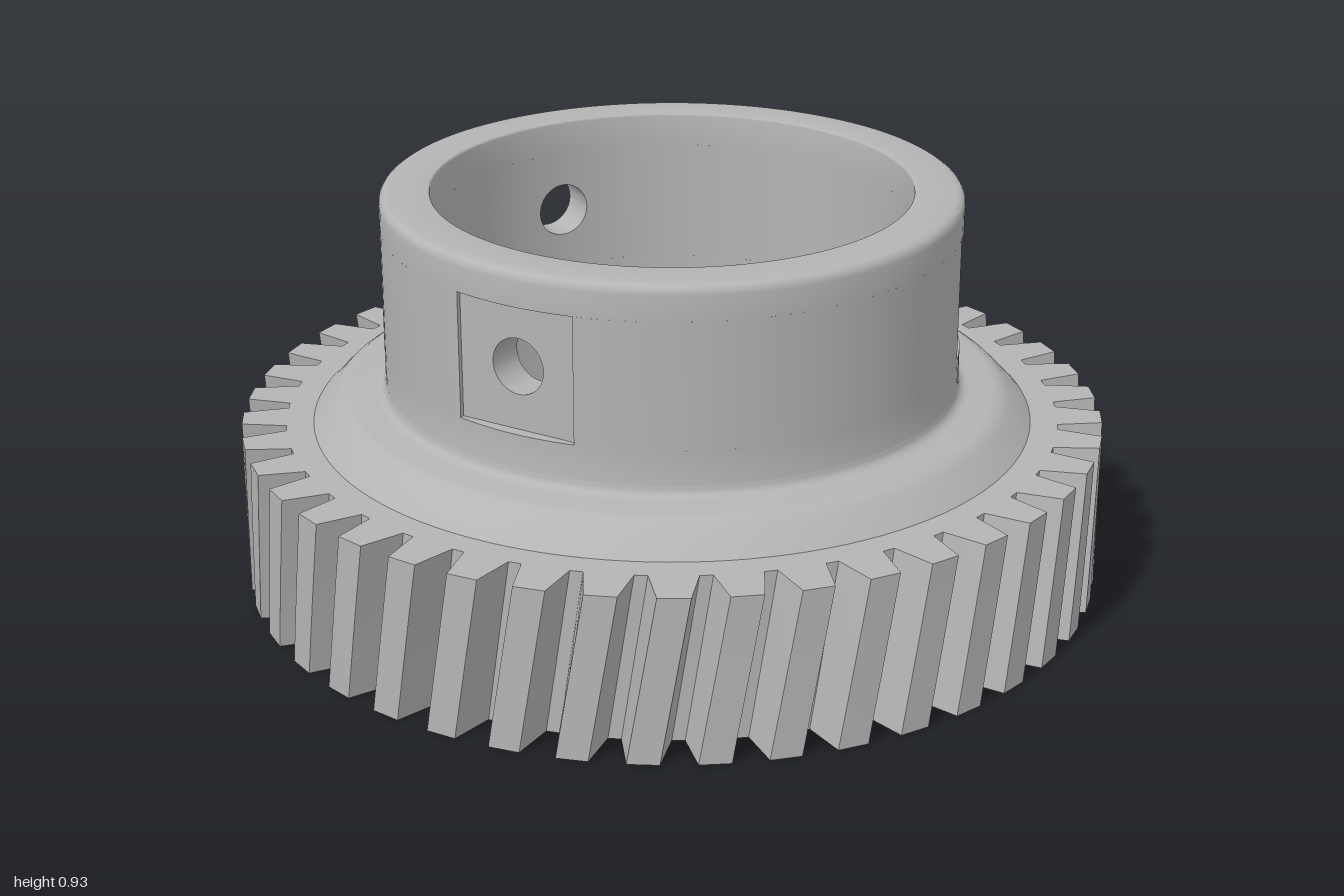
import * as THREE from 'three';
import { toCreasedNormals } from 'three/addons/utils/BufferGeometryUtils.js';

const steel = new THREE.MeshStandardMaterial({ color: 0xb4b4b4, side: THREE.DoubleSide });
steel.name = 'steel grey';

const TEETH = 42, GEAR_H = 0.385, TWIST = 0.064;
const HUB_R = 0.665, BORE_R = 0.55, SHAFT_R = 0.265, FLOOR_Y = 0.22;
const POCKET = 0.145, POCKET_Y = 0.705, POCKET_D = 0.638, HOLE_R = 0.064;
const THIRD = Math.PI * 2 / 3, FIRST = Math.PI / 3;

export function createModel() {
  const model = new THREE.Group();
  model.name = 'helicalGear';

  const add = (name, geometry, parent = model) => {
    const mesh = new THREE.Mesh(toCreasedNormals(geometry, 0.5), steel);
    mesh.name = name;
    parent.add(mesh);
    return mesh;
  };
  const lathe = (pts, segments = 120, start = 0, length = Math.PI * 2) =>
    new THREE.LatheGeometry(pts.map(p => new THREE.Vector2(...p)), segments, start, length);
  // points of a quarter round about (cx, cy)
  const round = (cx, cy, r, from, to, n = 4) => Array.from({ length: n + 1 }, (_, i) => {
    const a = from + (to - from) * i / n;
    return [cx + r * Math.cos(a), cy + r * Math.sin(a)];
  });
  const circle = (x, y, r) => new THREE.Path().absarc(x, y, r, 0, Math.PI * 2, true);

  // Toothed ring: trapezoid teeth, extruded and twisted
  const outline = [];
  for (let i = 0; i < TEETH; i++) {
    const mid = 0.092 + i * Math.PI * 2 / TEETH;
    for (const [r, half] of [[0.898, -0.053], [1, -0.035], [1, 0.035], [0.898, 0.053]]) {
      const a = mid + half / r;
      outline.push(new THREE.Vector2(r * Math.sin(a), -r * Math.cos(a)));
    }
  }
  const ringShape = new THREE.Shape(outline);
  ringShape.holes.push(circle(0, 0, 0.6));
  const ring = new THREE.ExtrudeGeometry(ringShape,
    { depth: GEAR_H, steps: 4, bevelEnabled: false, curveSegments: 60 });
  ring.rotateX(-Math.PI / 2);
  const pos = ring.attributes.position, v = new THREE.Vector3(), up = new THREE.Vector3(0, 1, 0);
  for (let i = 0; i < pos.count; i++) {
    v.fromBufferAttribute(pos, i);
    v.applyAxisAngle(up, -TWIST * (1 - v.y / GEAR_H));
    pos.setXYZ(i, v.x, v.y, v.z);
  }
  add('toothedRing', ring);

  // Shoulder and hub below the pockets, then the rim above them
  const low = POCKET_Y - POCKET, high = POCKET_Y + POCKET, H = Math.PI / 2;
  add('shoulder', lathe([
    [0.835, GEAR_H], [0.785, 0.437], [0.765, 0.451], [0.745, 0.455],
    ...round(HUB_R + 0.025, 0.48, 0.025, -H, -2 * H), [HUB_R, low],
  ]));
  add('hubRim', lathe([
    [HUB_R, high], ...round(HUB_R - 0.022, 0.908, 0.022, 0, H),
    ...round(BORE_R + 0.005, 0.925, 0.005, H, 2 * H), [BORE_R, high],
  ]));

  // Inside of the hub, shaft hole and underside
  add('hubInside', lathe([
    [BORE_R, low], ...round(BORE_R - 0.015, FLOOR_Y + 0.015, 0.015, 0, -H),
  ]));
  add('shaftHole', lathe([
    ...round(SHAFT_R + 0.015, FLOOR_Y - 0.015, 0.015, H, 2 * H), [SHAFT_R, 0], [0.602, 0],
  ]));

  // Recessed floor with three blind holes
  const floorShape = new THREE.Shape().absarc(0, 0, BORE_R - 0.015, 0, Math.PI * 2, false);
  floorShape.holes.push(circle(0, 0, SHAFT_R + 0.015));
  for (let i = 0; i < 3; i++) {
    const a = FIRST + i * THIRD, x = 0.42 * Math.sin(a), z = 0.42 * Math.cos(a);
    floorShape.holes.push(circle(x, -z, 0.077));
    const blind = add('blindHole', lathe([[0.077, 0.1], [0.077, 0], [0, 0]], 48));
    blind.position.set(x, FLOOR_Y - 0.1, z);
  }
  const floor = new THREE.ShapeGeometry(floorShape, 48);
  floor.rotateX(-H);
  floor.translate(0, FLOOR_Y, 0);
  add('hubFloor', floor);

  // Hub wall between the pockets, and the three pockets with their cross holes
  const aOut = Math.asin(POCKET / HUB_R), aIn = Math.asin(POCKET / BORE_R);
  const pocketGeometry = makePocket();
  for (let i = 0; i < 3; i++) {
    const a = FIRST + i * THIRD;
    add('hubWallOutside', lathe([[HUB_R, low], [HUB_R, high]], 40, a + aOut, THIRD - 2 * aOut));
    add('hubWallInside', lathe([[BORE_R, high], [BORE_R, low]], 40, a + aIn, THIRD - 2 * aIn));
    add('screwPocket', pocketGeometry).rotation.y = a;
  }
  return model;
}

// Loft from the square pocket edge, over its flat floor, through the hole to the inner wall
function makePocket() {
  const N = 64, onCylinder = r => u => Math.sqrt(r * r - u * u), flat = () => POCKET_D;
  const inner = onCylinder(BORE_R);
  // blend 0 is the round hole, blend 1 the square
  const loops = [[1, onCylinder(HUB_R)], [1, flat], [0, flat], [0, inner],
    [0.25, inner], [0.5, inner], [0.75, inner], [1, inner]];
  const points = [], index = [];
  loops.forEach(([blend, depth], k) => {
    for (let i = 0; i < N; i++) {
      const t = i / N * Math.PI * 2, c = Math.cos(t), s = Math.sin(t);
      const square = POCKET / Math.max(Math.abs(c), Math.abs(s));
      const r = HOLE_R + (square - HOLE_R) * blend;
      points.push(r * c, POCKET_Y + r * s, depth(r * c));
      if (k === 0) continue;
      const j = (i + 1) % N, a = (k - 1) * N, b = k * N;
      index.push(a + i, a + j, b + j, a + i, b + j, b + i);
    }
  });
  const geometry = new THREE.BufferGeometry();
  geometry.setAttribute('position', new THREE.Float32BufferAttribute(points, 3));
  geometry.setIndex(index);
  return geometry;
}
